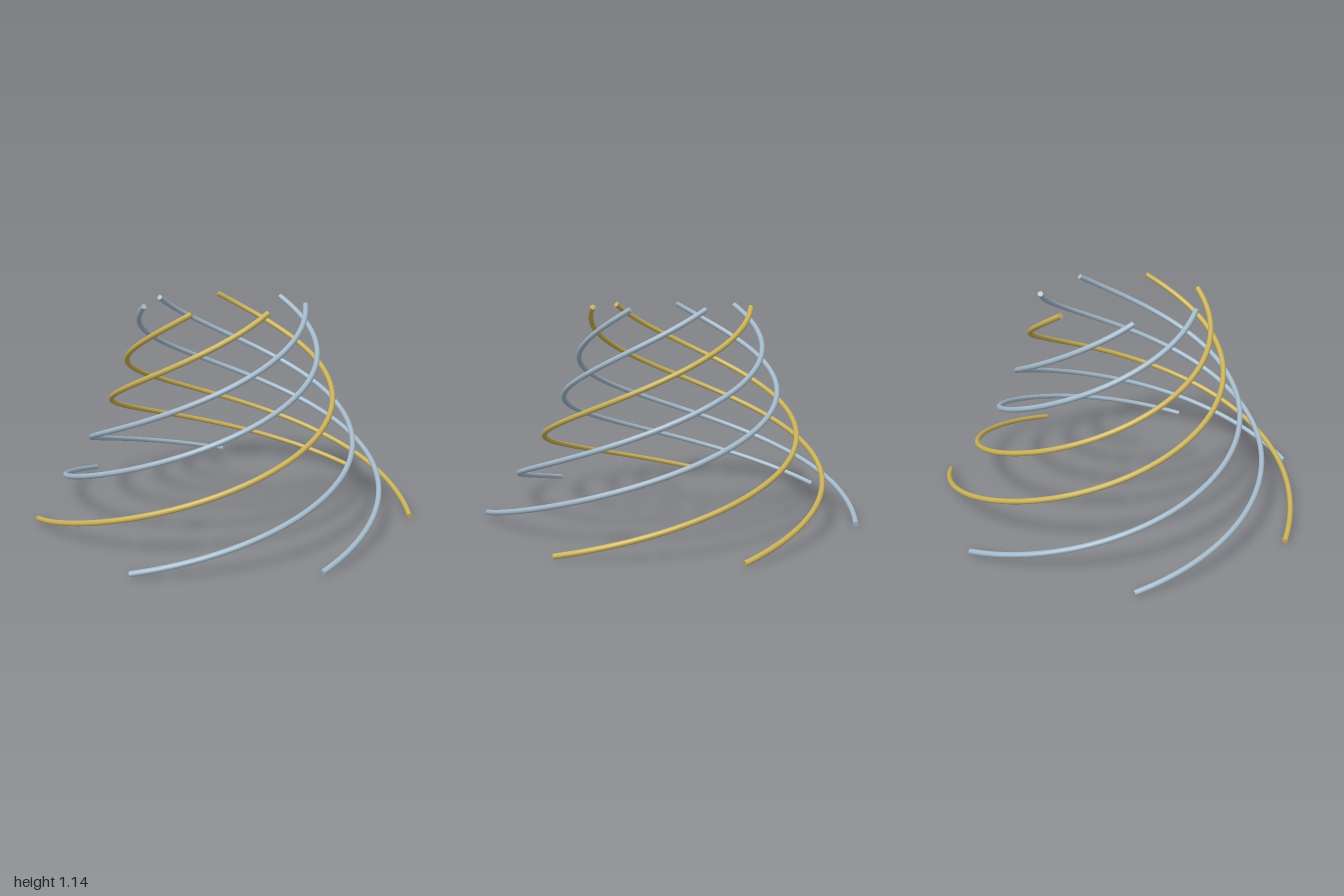
import * as THREE from 'three';

const STRANDS = 7;
const TUBE = 0.0143;
const SWEEP = THREE.MathUtils.degToRad(261);
const CENTRE_X = -0.04;

// Helix that rises evenly while its radius shrinks, fast at first
class StrandCurve extends THREE.Curve {
  constructor(startAngle) {
    super();
    this.startAngle = startAngle;
  }
  getPoint(t, target = new THREE.Vector3()) {
    const r = 0.209 + 0.803 * Math.exp(-1.3 * t);
    const a = this.startAngle - SWEEP * t;
    return target.set(r * Math.cos(a), 0.015 + 1.11 * t, r * Math.sin(a));
  }
}

// Flat disc closing one end of a strand
function endCap(curve, t, material) {
  const cap = new THREE.Mesh(new THREE.CircleGeometry(TUBE, 12), material);
  const outward = curve.getTangentAt(t).multiplyScalar(t === 0 ? -1 : 1);
  cap.quaternion.setFromUnitVectors(new THREE.Vector3(0, 0, 1), outward);
  cap.position.copy(curve.getPointAt(t));
  cap.name = t === 0 ? 'bottomCap' : 'topCap';
  return cap;
}

export function createModel() {
  const gold = new THREE.MeshStandardMaterial({ color: 0xc8b05a });
  gold.name = 'gold';
  const paleBlue = new THREE.MeshStandardMaterial({ color: 0xa3b8c9 });
  paleBlue.name = 'paleBlue';
  const colours = [gold, gold, paleBlue, paleBlue, gold, paleBlue, paleBlue];

  const model = new THREE.Group();
  model.name = 'spiralTower';
  for (let i = 0; i < STRANDS; i++) {
    const curve = new StrandCurve((i / STRANDS) * Math.PI * 2);
    const tube = new THREE.Mesh(new THREE.TubeGeometry(curve, 120, TUBE, 12), colours[i]);
    tube.name = 'strandTube';
    const strand = new THREE.Group();
    strand.name = `strand${i + 1}`;
    strand.add(tube, endCap(curve, 0, colours[i]), endCap(curve, 1, colours[i]));
    strand.position.x = CENTRE_X;
    model.add(strand);
  }
  return model;
}
